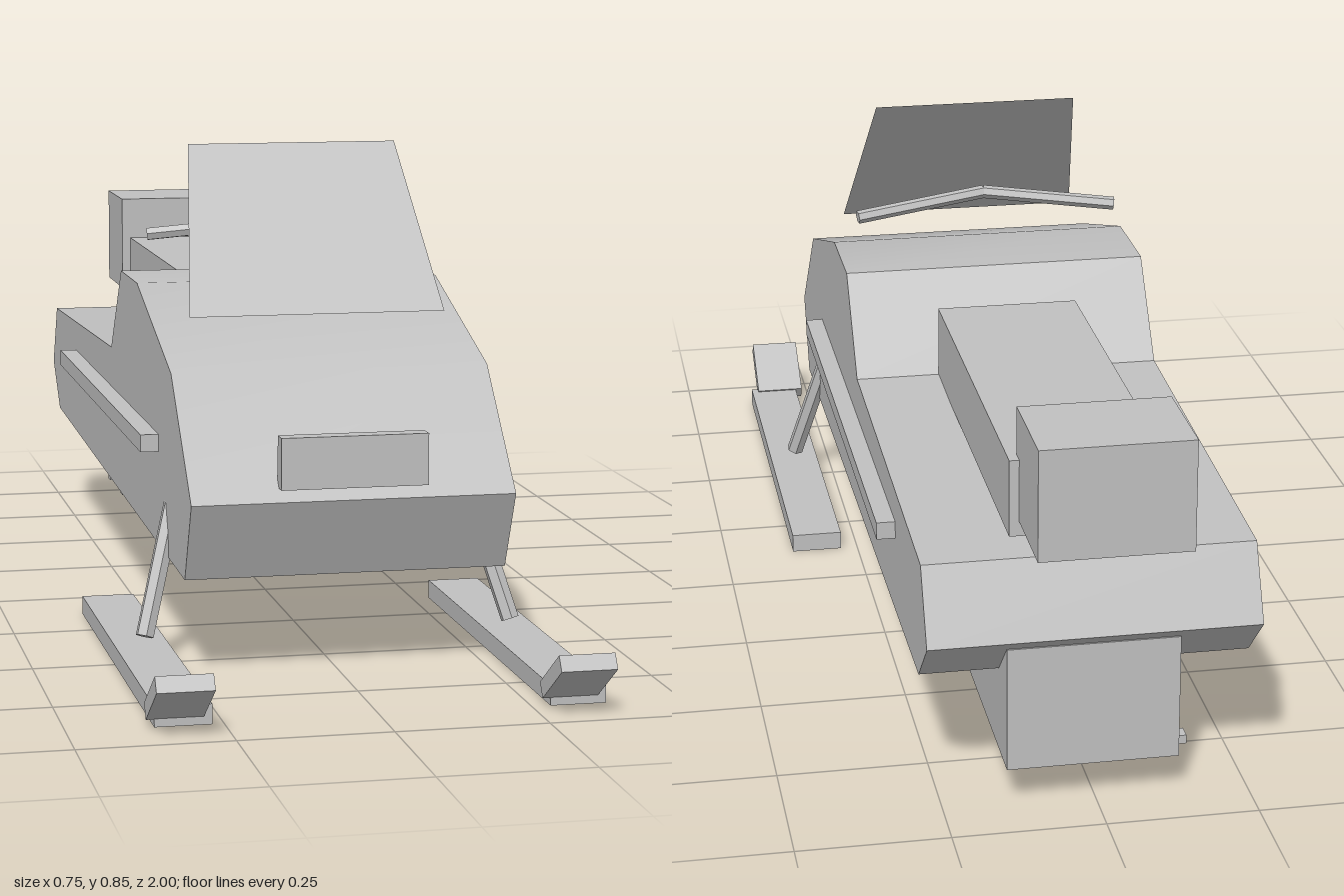
import * as THREE from 'three';
import { toCreasedNormals } from 'three/addons/utils/BufferGeometryUtils.js';

export function createModel() {
  const model = new THREE.Group();
  model.name = 'snowmobile';
  const grey = new THREE.MeshStandardMaterial({ color: 0xc0c0c0, side: THREE.DoubleSide });
  grey.name = 'plain grey';

  const add = (name, geometry, parent = model) => {
    const mesh = new THREE.Mesh(geometry, grey);
    mesh.name = name;
    parent.add(mesh);
    return mesh;
  };
  // Box given by its limits along each axis
  const box = (name, [x0, x1], [y0, y1], [z0, z1], parent) => {
    const mesh = add(name, new THREE.BoxGeometry(x1 - x0, y1 - y0, z1 - z0), parent);
    mesh.position.set((x0 + x1) / 2, (y0 + y1) / 2, (z0 + z1) / 2);
    return mesh;
  };
  // Straight six-sided rod between two points
  const rod = (name, a, b, radius, parent) => {
    const from = new THREE.Vector3(...a), to = new THREE.Vector3(...b);
    const dir = to.clone().sub(from);
    const geo = new THREE.CylinderGeometry(radius, radius, dir.length(), 6).toNonIndexed();
    geo.computeVertexNormals();
    const mesh = add(name, geo, parent);
    mesh.position.copy(from).add(to).multiplyScalar(0.5);
    mesh.quaternion.setFromUnitVectors(new THREE.Vector3(0, 1, 0), dir.normalize());
    return mesh;
  };

  const mid = 0.006; // centre line of the body

  // Body: side profile (z, y) extruded across the width, smooth over the hood
  const profile = [
    [0.702, 0.307], [0.517, 0.495], [0.171, 0.603], [-0.008, 0.603], [-0.131, 0.445],
    [-0.876, 0.418], [-0.935, 0.298], [-0.844, 0.212], [0.64, 0.172],
  ].map(([z, y]) => new THREE.Vector2(z, y));
  const hull = new THREE.ExtrudeGeometry(new THREE.Shape(profile), { depth: 0.543, bevelEnabled: false });
  hull.rotateY(-Math.PI / 2).translate(mid + 0.2715, 0, 0);
  add('body', toCreasedNormals(hull, 0.6));

  // Seat, rear box, headlight
  box('seat', [mid - 0.124, mid + 0.124], [0.44, 0.57], [-0.841, -0.131]);
  box('rearBox', [-0.135, 0.114], [0.465, 0.651], [-1, -0.817]);
  box('headlight', [mid - 0.123, mid + 0.123], [0.327, 0.413], [0.672, 0.702]);

  // Windshield: a thin sheet leaning back
  const sheet = new THREE.PlaneGeometry(1, 1);
  const p = sheet.attributes.position;
  for (let i = 0; i < p.count; i++) {
    const top = p.getY(i) > 0;
    p.setXYZ(i, mid + Math.sign(p.getX(i)) * (top ? 0.185 : 0.222), top ? 0.849 : 0.574, top ? 0.202 : 0.42);
  }
  sheet.computeVertexNormals();
  add('windshield', sheet);

  // Track with its cleats
  box('track', [mid - 0.141, mid + 0.141], [0.067, 0.28], [-0.919, 0.035]);
  for (let i = 0; i < 6; i++) {
    const z = -0.04 - i * 0.161;
    box('trackCleat', [-0.162, 0.133], [0.055, 0.07], [z - 0.013, z + 0.013]);
  }

  for (const s of [1, -1]) {
    const side = new THREE.Group();
    side.name = s > 0 ? 'leftSide' : 'rightSide';
    side.position.x = mid;
    model.add(side);

    // Side rail
    const rail = box('sideRail', [-0.017, 0.017], [0.341, 0.371], [-0.597, 0.391], side);
    rail.position.x = s * 0.286;

    // Ski with upturned tip
    const ski = box('ski', [-0.046, 0.046], [0, 0.033], [0.128, 0.9], side);
    ski.position.x = s * 0.321;
    const tip = add('skiTip', new THREE.BoxGeometry(0.092, 0.028, 0.122), side);
    tip.position.set(s * 0.321 - 0.013, 0.058, 0.941);
    tip.rotation.x = -0.593;

    // Ski strut and half of the handlebar
    rod('skiStrut', [s * 0.318, 0.05, 0.515], [s * 0.248, 0.3, 0.44], 0.016, side);
    rod('handlebar', [0, 0.703, 0.118], [s * 0.238, 0.679, 0.08], 0.012, side);
  }
  return model;
}
